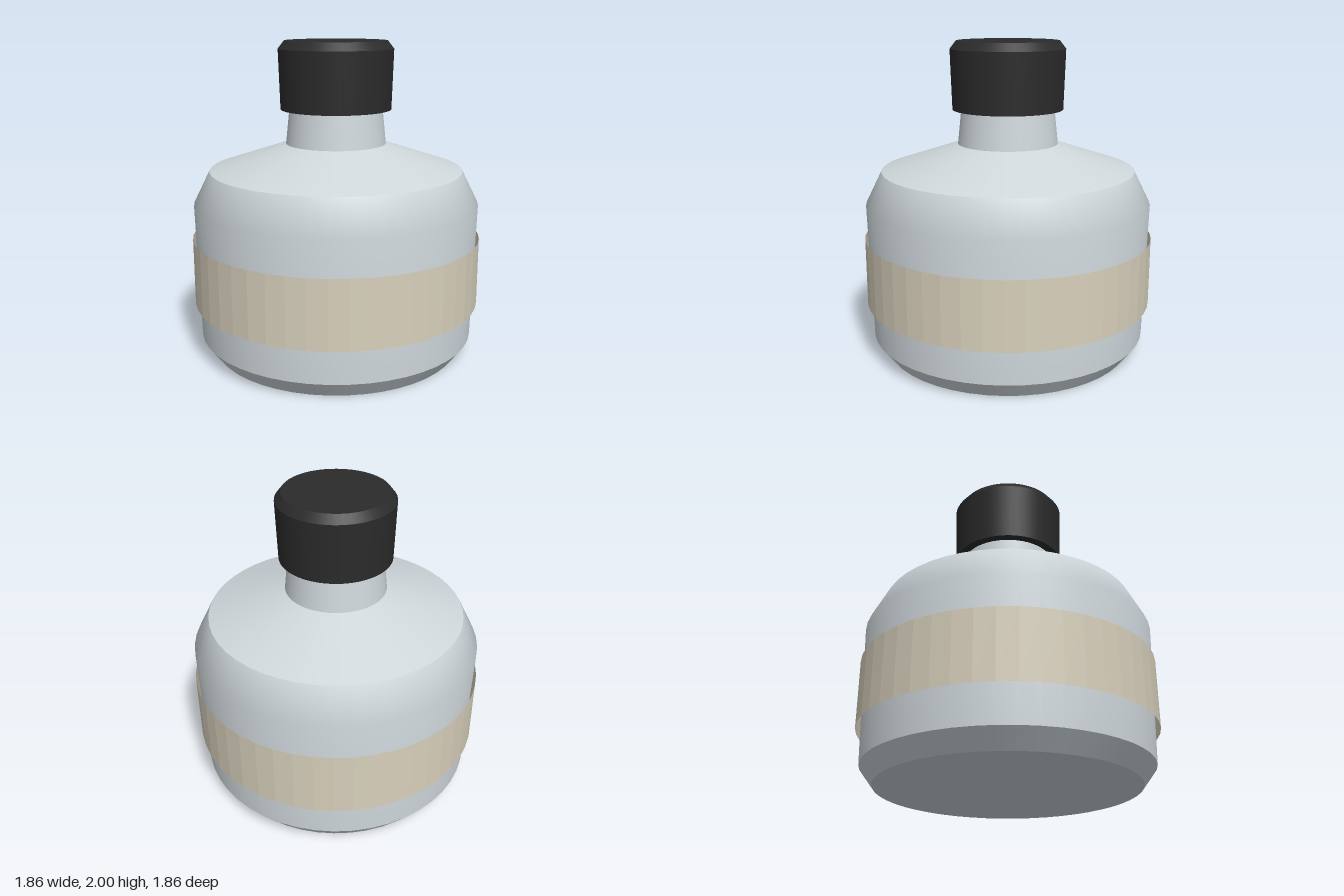
import * as THREE from 'three';
import { mergeGeometries } from 'three/addons/utils/BufferGeometryUtils.js';

const SEGMENTS = 48;

// Revolves several profile runs; shading is smooth within a run, sharp between runs
function revolve(runs) {
  return mergeGeometries(runs.map((run) =>
    new THREE.LatheGeometry(run.map(([r, y]) => new THREE.Vector2(r, y)), SEGMENTS)));
}

export function createModel() {
  const glass = new THREE.MeshStandardMaterial({ color: 0xcfd7db });
  glass.name = 'pale blue grey';
  const paper = new THREE.MeshStandardMaterial({ color: 0xd8d0bc, flatShading: true, side: THREE.DoubleSide });
  paper.name = 'cream';
  const black = new THREE.MeshStandardMaterial({ color: 0x2b2b2b });
  black.name = 'black';

  const model = new THREE.Group();
  model.name = 'bottle';
  const add = (name, geometry, material) => {
    const mesh = new THREE.Mesh(geometry, material);
    mesh.name = name;
    model.add(mesh);
    return mesh;
  };

  // Body: base, bottom bevel, wall with soft upper bevel, shoulder, neck
  add('body', revolve([
    [[0, 0], [0.81, 0]],
    [[0.81, 0], [0.893, 0.11]],
    [[0.893, 0.11], [0.915, 0.98], [0.81, 1.19]],
    [[0.81, 1.19], [0.32, 1.355]],
    [[0.32, 1.355], [0.294, 1.6]],
  ]), glass);

  // Label: open faceted sleeve around the body
  const label = add('labelBand',
    new THREE.CylinderGeometry(0.93, 0.93, 0.43, SEGMENTS, 1, true), paper);
  label.position.y = 0.545;

  // Cap: underside, flared side, bevel, flat top
  add('cap', revolve([
    [[0, 1.573], [0.352, 1.573]],
    [[0.352, 1.573], [0.364, 1.95]],
    [[0.364, 1.95], [0.325, 2]],
    [[0.325, 2], [0, 2]],
  ]), black);

  return model;
}
